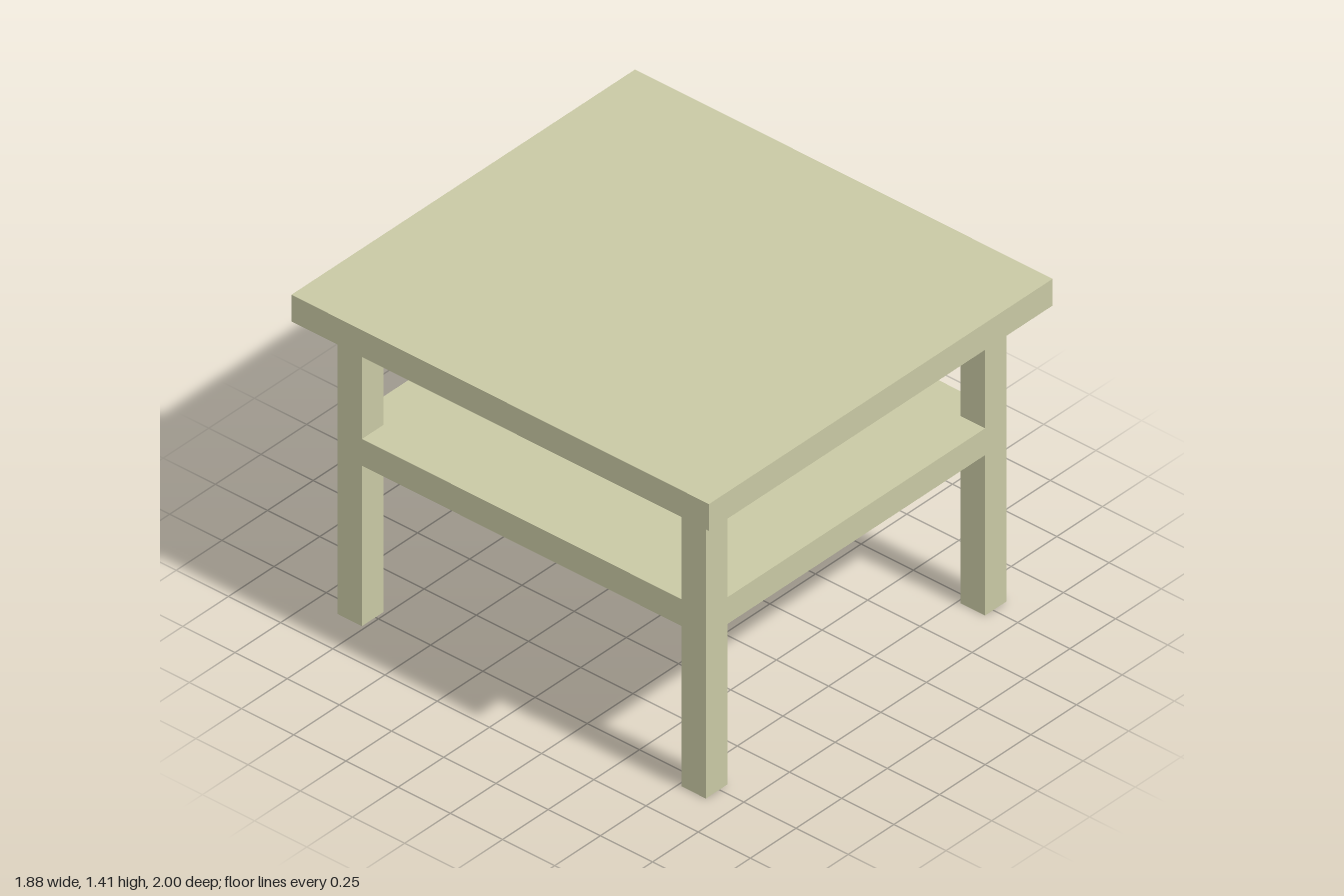
import * as THREE from 'three';

const U = 1 / 17; // every dimension is a multiple of this unit

export function createModel() {
  const table = new THREE.Group();
  table.name = 'sideTable';
  const paleWood = new THREE.MeshStandardMaterial({ color: 0xc8c8a4 });
  paleWood.name = 'paleWood';

  const add = (name, geometry, x, y, z) => {
    const mesh = new THREE.Mesh(geometry, paleWood);
    mesh.name = name;
    mesh.position.set(x * U, y * U, z * U);
    table.add(mesh);
  };

  // Overhanging table top
  add('tableTop', new THREE.BoxGeometry(32 * U, 2 * U, 34 * U), 0, 23, 0);

  // Four square legs
  const leg = new THREE.BoxGeometry(2 * U, 22 * U, 2 * U);
  for (const [side, x] of [['Left', 13], ['Right', -13]]) {
    for (const [end, z] of [['front', 14], ['back', -14]]) {
      add(`${end}${side}Leg`, leg, x, 11, z);
    }
  }

  // Shelf flush with the legs, its corners notched around them
  const outline = [
    [12, -15], [12, -13], [14, -13], [14, 13], [12, 13], [12, 15],
    [-12, 15], [-12, 13], [-14, 13], [-14, -13], [-12, -13], [-12, -15],
  ].map(([x, z]) => new THREE.Vector2(x * U, z * U));
  const shelf = new THREE.ExtrudeGeometry(new THREE.Shape(outline), { depth: 2 * U, bevelEnabled: false });
  shelf.rotateX(-Math.PI / 2);
  add('shelf', shelf, 0, 12, 0);

  return table;
}
